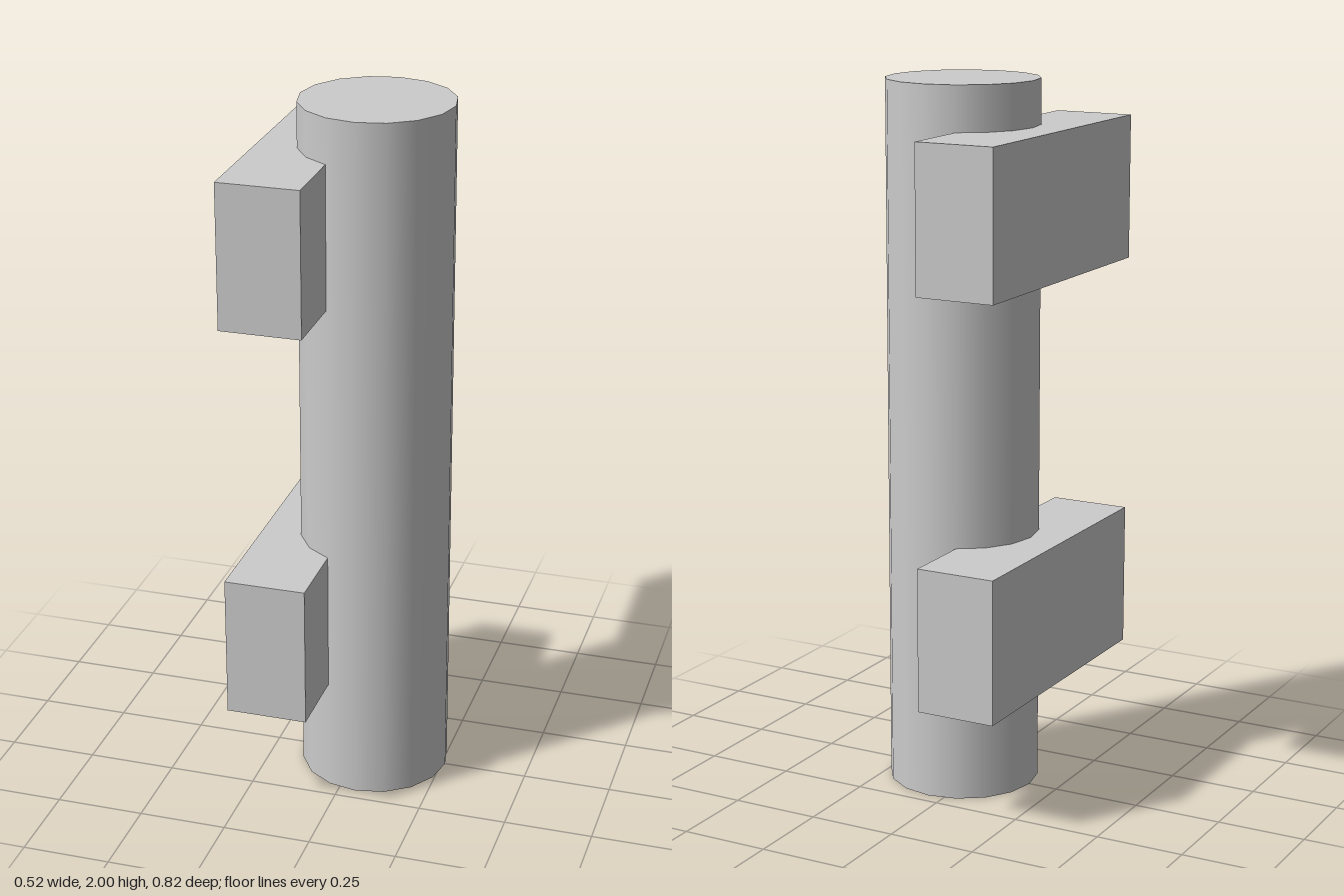
import * as THREE from 'three';

export function createModel() {
  const group = new THREE.Group();
  const material = new THREE.MeshStandardMaterial({ color: 0xcccccc, side: THREE.DoubleSide });
  const radius = 0.213, height = 2, sides = 16, postX = 0.048;

  function add(name, geometry, x, y, z) {
    const mesh = new THREE.Mesh(geometry, material);
    mesh.name = name;
    mesh.position.set(x, y, z);
    group.add(mesh);
    return mesh;
  }

  // Upright round post, open at the bottom
  add('post', new THREE.CylinderGeometry(radius, radius, height, sides, 1, true), postX, height / 2, 0);

  // Flat lid closing the top of the post
  add('postTop', new THREE.CircleGeometry(radius, sides), postX, height, 0).rotation.x = -Math.PI / 2;

  // Two cross blocks sunk into the side of the post
  for (const [name, y] of [['lowerCrossBlock', 0.531], ['upperCrossBlock', 1.672]]) {
    add(name, new THREE.BoxGeometry(0.228, 0.405, 0.82), -0.149, y, 0);
  }

  return group;
}
